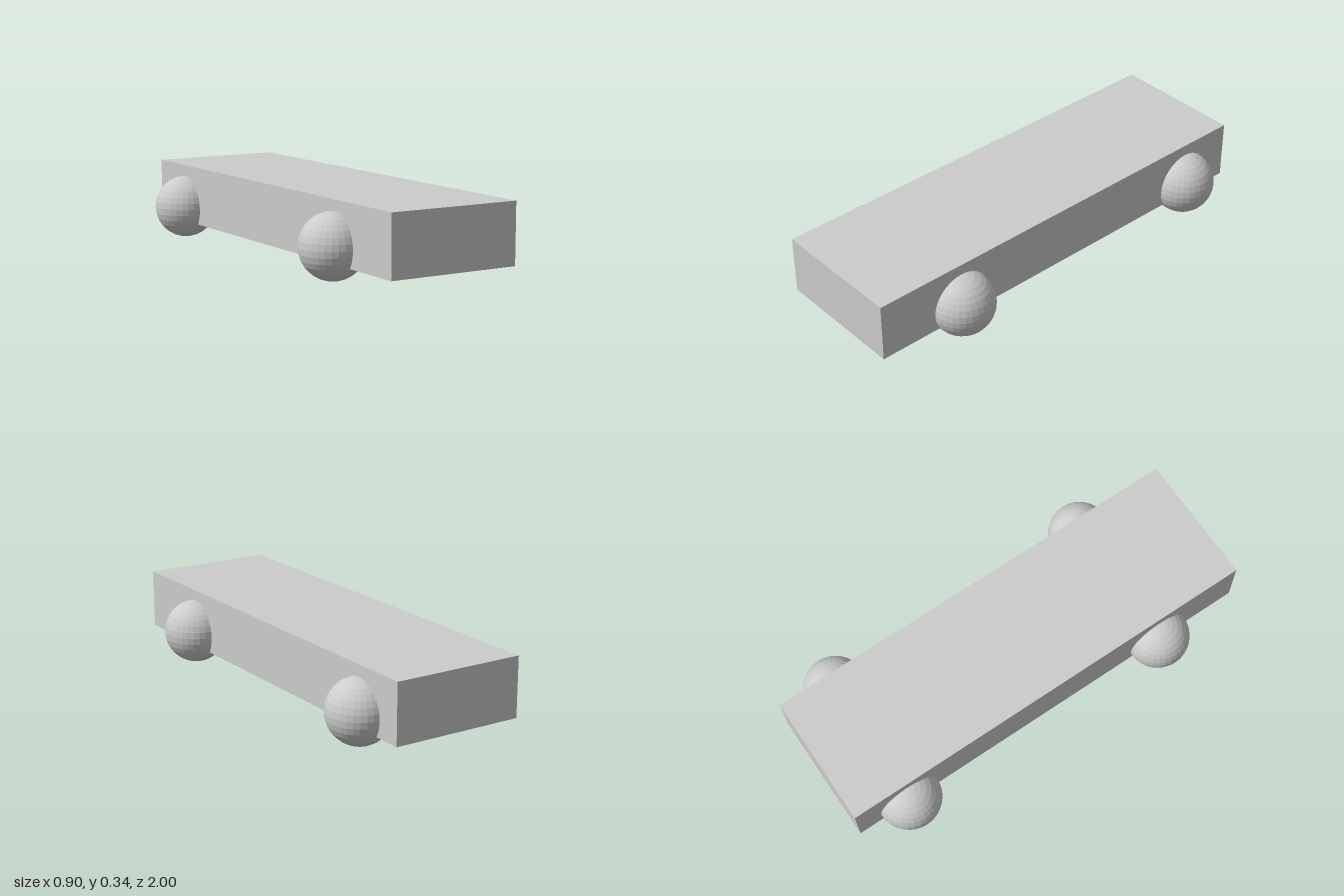
import * as THREE from 'three';

export function createModel() {
  const model = new THREE.Group();
  const grey = new THREE.MeshStandardMaterial({ color: 0xcccccc, flatShading: true });
  grey.name = 'light grey';

  // Long slab body
  const body = new THREE.Mesh(new THREE.BoxGeometry(0.604, 0.268, 2), grey);
  body.name = 'body';
  body.position.set(0, 0.205, 0);
  model.add(body);

  // Ball wheels, half sunk into the sides; each is placed slightly unevenly
  const ball = new THREE.SphereGeometry(0.144, 32, 16);
  const wheels = [
    ['frontLeftWheel', 0.303, 0.147, 0.584],
    ['frontRightWheel', -0.307, 0.147, 0.584],
    ['backLeftWheel', 0.298, 0.144, -0.742],
    ['backRightWheel', -0.302, 0.144, -0.742],
  ];
  for (const [name, x, y, z] of wheels) {
    const wheel = new THREE.Mesh(ball, grey);
    wheel.name = name;
    wheel.position.set(x, y, z);
    model.add(wheel);
  }
  return model;
}
